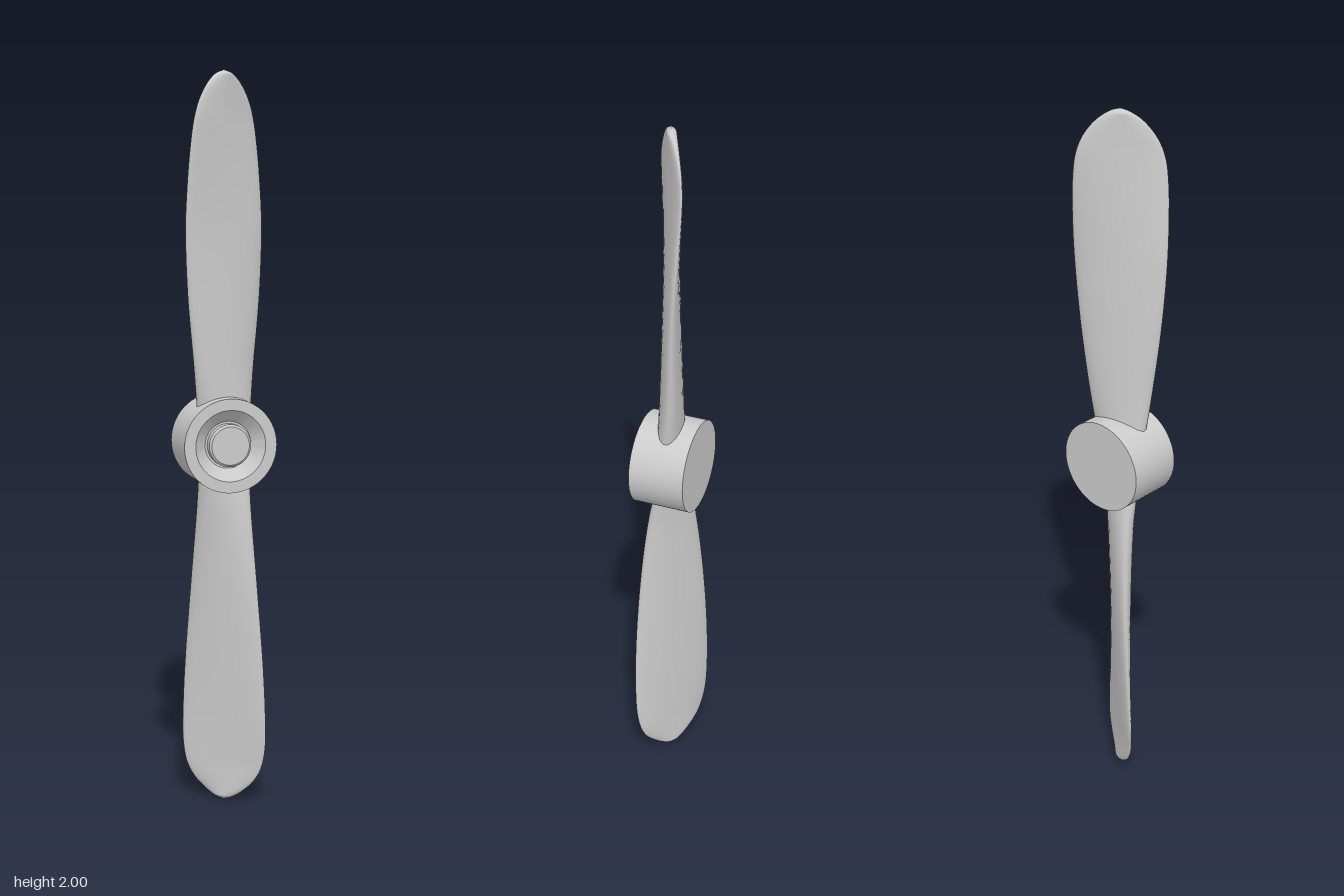
import * as THREE from 'three';
import { toCreasedNormals } from 'three/addons/utils/BufferGeometryUtils.js';

const material = new THREE.MeshStandardMaterial({ color: 0xcccccc });
const HUB_Y = 1;

// Blade lofted outward along +y from twisted elliptical sections.
// Each station: [distance from hub centre, half extent in x, half extent in z]
function bladeGeometry(stations, rings = 56, sides = 32) {
  const curve = new THREE.CatmullRomCurve3(
    stations.map(([r, hx, hz]) => new THREE.Vector3(hx, r, hz)));
  const positions = [], index = [];
  for (let i = 0; i <= rings; i++) {
    const p = curve.getPoint(i / rings);
    const hx = Math.max(p.x, 1e-4), hz = Math.max(p.z, 1e-4);
    // thick round root thinning to a fine tip
    const t = Math.min(THREE.MathUtils.lerp(0.038, 0.013, Math.min(1, p.y / 0.9)), hz * 0.97, hx * 0.5);
    // chord length and pitch that give the wanted extents
    const c = Math.sqrt(hx * hx + hz * hz - t * t);
    const sin = Math.sqrt(Math.max(0, hz * hz - t * t) / Math.max(1e-10, c * c - t * t));
    const cos = Math.sqrt(Math.max(0, 1 - sin * sin));
    for (let j = 0; j < sides; j++) {
      const a = (j / sides) * Math.PI * 2;
      const u = c * Math.cos(a), v = t * Math.sin(a);
      positions.push(u * cos + v * sin, p.y, -u * sin + v * cos);
      if (i < rings) {
        const k = i * sides + j, n = i * sides + ((j + 1) % sides);
        index.push(k, k + sides, n, n, k + sides, n + sides);
      }
    }
  }
  const geometry = new THREE.BufferGeometry();
  geometry.setAttribute('position', new THREE.Float32BufferAttribute(positions, 3));
  geometry.setIndex(index);
  geometry.computeVertexNormals();
  return geometry;
}

export function createModel() {
  const model = new THREE.Group();
  model.name = 'propeller';

  const add = (name, geometry) => {
    const mesh = new THREE.Mesh(geometry, material);
    mesh.name = name;
    mesh.position.y = HUB_Y;
    model.add(mesh);
    return mesh;
  };

  // Hub: closed back, dished front with a raised central boss
  const profile = [
    [0, -0.08], [0.128, -0.08], [0.128, 0.075], [0.097, 0.075],
    [0.064, 0.045], [0.058, 0.045], [0.058, 0.068], [0.052, 0.073], [0, 0.073],
  ].map(([r, z]) => new THREE.Vector2(r, z));
  const hub = new THREE.LatheGeometry(profile, 64).rotateX(Math.PI / 2);
  add('hub', toCreasedNormals(hub, 0.5));

  // Upper blade: wide, shallow pitch growing towards the tip
  add('upperBlade', bladeGeometry([
    [0.1, 0.078, 0.037], [0.2, 0.088, 0.041], [0.4, 0.109, 0.047], [0.58, 0.118, 0.054],
    [0.7, 0.115, 0.061], [0.8, 0.108, 0.066], [0.87, 0.098, 0.065], [0.92, 0.082, 0.055],
    [0.965, 0.054, 0.036], [0.99, 0.026, 0.017], [1, 0, 0],
  ]));

  // Lower blade: steeper pitch, turned half a revolution about the shaft
  add('lowerBlade', bladeGeometry([
    [0.1, 0.067, 0.038], [0.2, 0.068, 0.052], [0.4, 0.079, 0.068], [0.6, 0.092, 0.075],
    [0.75, 0.099, 0.074], [0.84, 0.1, 0.069], [0.9, 0.092, 0.06], [0.94, 0.074, 0.049],
    [0.97, 0.048, 0.034], [0.99, 0.024, 0.018], [1, 0, 0],
  ])).rotation.z = Math.PI;

  return model;
}
